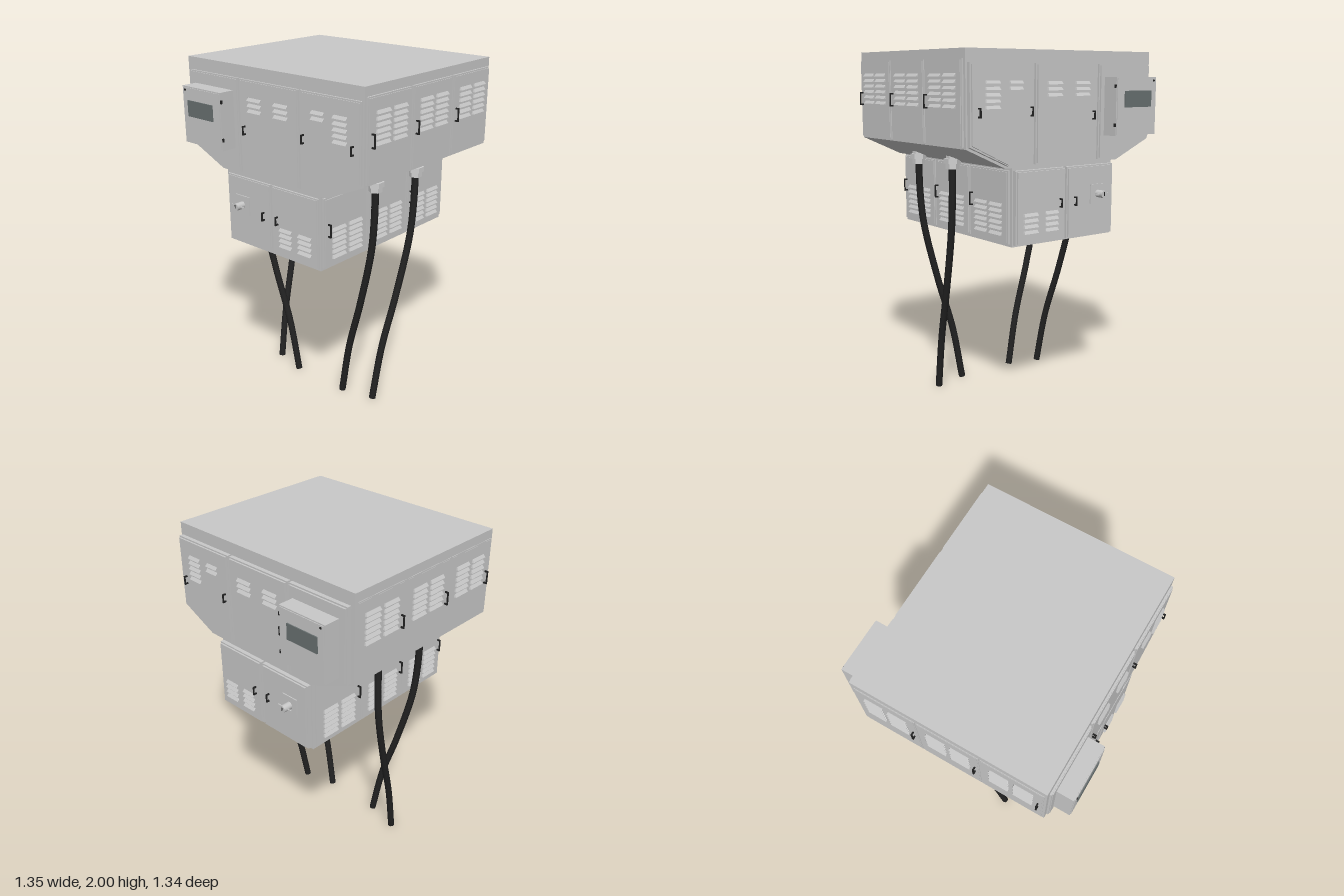
import * as THREE from 'three';

const mat = (name, color) => Object.assign(new THREE.MeshStandardMaterial({ color }), { name });

export function createModel() {
  const paint = mat('grey paint', 0xc8c8c8);
  const metal = mat('gland metal', 0xd0d0d0);
  const black = mat('black rubber', 0x222222);
  const glass = mat('display glass', 0x687070);
  const model = new THREE.Group();
  model.name = 'electricalCabinet';

  const add = (parent, name, geo, m, x = 0, y = 0, z = 0) => {
    const mesh = new THREE.Mesh(geo, m);
    mesh.name = name;
    mesh.position.set(x, y, z);
    parent.add(mesh);
    return mesh;
  };
  const box = (parent, name, m, w, h, d, x, y, z) =>
    add(parent, name, new THREE.BoxGeometry(w, h, d), m, x, y, z);
  const plate = (pts, depth) => new THREE.ExtrudeGeometry(
    new THREE.Shape(pts.map(p => new THREE.Vector2(...p))), { depth, bevelEnabled: false });

  // Cabinet bodies
  const Z0 = -0.535, Z1 = 0.55;
  add(model, 'upperCabinet', plate([[-0.65, 2], [-0.65, 1.505], [-0.4, 1.395],
    [0.39, 1.395], [0.635, 1.505], [0.635, 2]], Z1 - Z0), paint, 0, 0, Z0);
  box(model, 'lowerCabinet', paint, 0.71, 0.42, Z1 - Z0, -0.007, 1.185, (Z0 + Z1) / 2);

  // Louvre hood: a slat whose upper edge leans back into the door
  const hoodGeo = w => {
    const g = new THREE.BoxGeometry(w, 0.016, 0.013);
    const p = g.attributes.position;
    for (let i = 0; i < p.count; i++) {
      if (p.getY(i) > 0 && p.getZ(i) > 0) p.setXYZ(i, p.getX(i) * 0.9, p.getY(i), -0.004);
    }
    const flat = g.toNonIndexed();
    flat.computeVertexNormals();
    return flat;
  };

  // A face holds doors in local coordinates: u across, y up, z outward; s mirrors u
  const makeFace = (name, rotY, pos, s, t) => {
    const g = new THREE.Group();
    g.name = name;
    g.rotation.y = rotY;
    g.position.set(...pos);
    model.add(g);
    return {
      door(pts) {
        const cx = pts.reduce((a, p) => a + p[0], 0) / pts.length;
        const cy = pts.reduce((a, p) => a + p[1], 0) / pts.length;
        const inner = pts.map(([u, y]) => [s * (u - 0.008 * Math.sign(u - cx)), y - 0.008 * Math.sign(y - cy)]);
        add(g, 'doorFrame', plate(pts.map(([u, y]) => [s * u, y]), t * 0.7), paint);
        add(g, 'doorPanel', plate(inner, t), paint);
      },
      rect(u0, u1, y0, y1) { this.door([[u0, y0], [u1, y0], [u1, y1], [u0, y1]]); },
      louvres(u0, u1, yTop, n, step = 0.031) {
        for (let i = 0; i < n; i++) {
          add(g, 'louvre', hoodGeo(u1 - u0), paint, s * (u0 + u1) / 2, yTop - i * step, t + 0.0065);
        }
      },
      // Pull handle: a grip on two short posts
      handle(u, y, h = 0.065) {
        box(g, 'handleGrip', black, 0.008, h, 0.006, s * u, y, t + 0.018);
        for (const e of [-1, 1]) {
          box(g, 'handlePost', black, 0.008, 0.008, 0.018, s * u, y + e * (h / 2 - 0.004), t + 0.009);
        }
      },
      // Instrument box with a display window, hinges and a screw
      instrument(d) {
        box(g, 'instrumentBox', paint, 0.31, 0.32, d, s * -0.425, 1.7, d / 2);
        box(g, 'instrumentLid', paint, 0.296, 0.306, 0.004, s * -0.425, 1.7, d + 0.002);
        box(g, 'displayWindow', glass, 0.205, 0.09, 0.008, s * -0.432, 1.74, d + 0.006);
        for (const y of [1.6, 1.81]) box(g, 'hinge', black, 0.008, 0.02, 0.01, s * -0.268, y, d - 0.005);
        const screw = add(g, 'screw', new THREE.CylinderGeometry(0.006, 0.006, 0.006, 10), black, s * -0.555, 1.84, d + 0.005);
        screw.rotation.x = Math.PI / 2;
      },
      // Rotary switch on a square backing plate
      knob(u, y) {
        box(g, 'switchPlate', paint, 0.108, 0.108, 0.006, s * u, y, t + 0.003);
        const k = add(g, 'switchKnob', new THREE.CylinderGeometry(0.021, 0.021, 0.055, 20), paint, s * u, y, t + 0.0325);
        k.rotation.x = Math.PI / 2;
        box(g, 'switchMark', black, 0.004, 0.02, 0.004, s * u, y + 0.003, t + 0.061);
        box(g, 'switchPin', paint, 0.1, 0.008, 0.006, s * u, y, t + 0.04);
      },
    };
  };

  // Front and back share one layout, mirrored in z
  for (const s of [1, -1]) {
    const t = s > 0 ? 0.015 : 0.033;
    const zPlane = s > 0 ? Z1 : Z0;
    const f = makeFace(s > 0 ? 'frontFace' : 'backFace', s > 0 ? 0 : Math.PI, [0, 0, zPlane], s, t);
    f.door([[-0.625, 1.93], [-0.625, 1.51], [-0.39, 1.408], [-0.236, 1.408], [-0.236, 1.93]]);
    f.rect(-0.224, 0.21, 1.408, 1.93);
    f.door([[0.625, 1.93], [0.222, 1.93], [0.222, 1.408], [0.385, 1.408], [0.625, 1.515]]);
    f.louvres(-0.155, -0.055, 1.83, 3);
    f.louvres(0.04, 0.14, 1.83, 3);
    f.louvres(0.305, 0.39, 1.835, 2);
    f.louvres(0.45, 0.54, 1.835, 5);
    f.handle(-0.185, 1.655, 0.05);
    f.handle(0.25, 1.685, 0.05);
    f.handle(0.58, 1.685, 0.05);
    f.instrument(s > 0 ? 0.108 : 0.125);

    f.rect(-0.35, -0.01, 0.985, 1.38);
    f.rect(0.002, 0.34, 0.985, 1.38);
    f.louvres(0.06, 0.15, 1.145, 4);
    f.louvres(0.2, 0.295, 1.145, 4);
    f.handle(-0.06, 1.19, 0.05);
    f.handle(0.045, 1.19, 0.05);
    f.knob(-0.228, 1.218);
  }

  // Sides: three doors on each cabinet
  for (const s of [1, -1]) {
    const rot = s * Math.PI / 2;
    const up = makeFace('upperSide', rot, [s > 0 ? 0.635 : -0.65, 0, 0], s, s > 0 ? 0.015 : 0.004);
    const low = makeFace('lowerSide', rot, [s > 0 ? 0.348 : -0.362, 0, 0], s, 0.017);
    for (let i = 0; i < 3; i++) {
      const u = -0.537 + i * 0.355;
      up.rect(u, u + 0.345, 1.515, 1.95);
      low.rect(u, u + 0.345, 0.99, 1.38);
      for (const off of [0.055, 0.19]) {
        up.louvres(u + off, u + off + 0.108, 1.87, 6);
        low.louvres(u + off, u + off + 0.108, 1.195, 6);
      }
      up.handle(u + 0.027, 1.735, 0.075);
      low.handle(u + 0.027, 1.2, 0.075);
    }
  }

  // Cables hanging from glands under the sloping edges
  const sway = [[1.4, 0], [1.2, 0.02], [1, 0.1], [0.65, 0.42], [0.33, 0.77], [0.005, 1]];
  for (const s of [1, -1]) {
    const x0 = s > 0 ? 0.45 : -0.46;
    for (const [z0, x1, z1] of [[0.227, s * 0.185, 0.19], [-0.13, s * 0.385, 0.145]]) {
      const path = new THREE.CatmullRomCurve3(sway.map(([y, f]) =>
        new THREE.Vector3(x0 + (x1 - x0) * f, y, z0 + (z1 - z0) * f)));
      add(model, 'cable', new THREE.TubeGeometry(path, 40, 0.02, 12), black);
      const end = add(model, 'cableEnd', new THREE.CircleGeometry(0.02, 12), black, x1, 0.005, z1);
      end.rotation.x = Math.PI / 2;
      const nut = (name, r, y0, y1) => {
        const g = new THREE.CylinderGeometry(r, r, y1 - y0, 6).toNonIndexed();
        g.computeVertexNormals();
        add(model, name, g, metal, x0, (y0 + y1) / 2, z0);
      };
      nut('glandCap', 0.037, 1.362, 1.392);
      nut('glandNut', 0.047, 1.392, 1.42);
      nut('glandThread', 0.034, 1.42, 1.45);
    }
  }
  return model;
}
